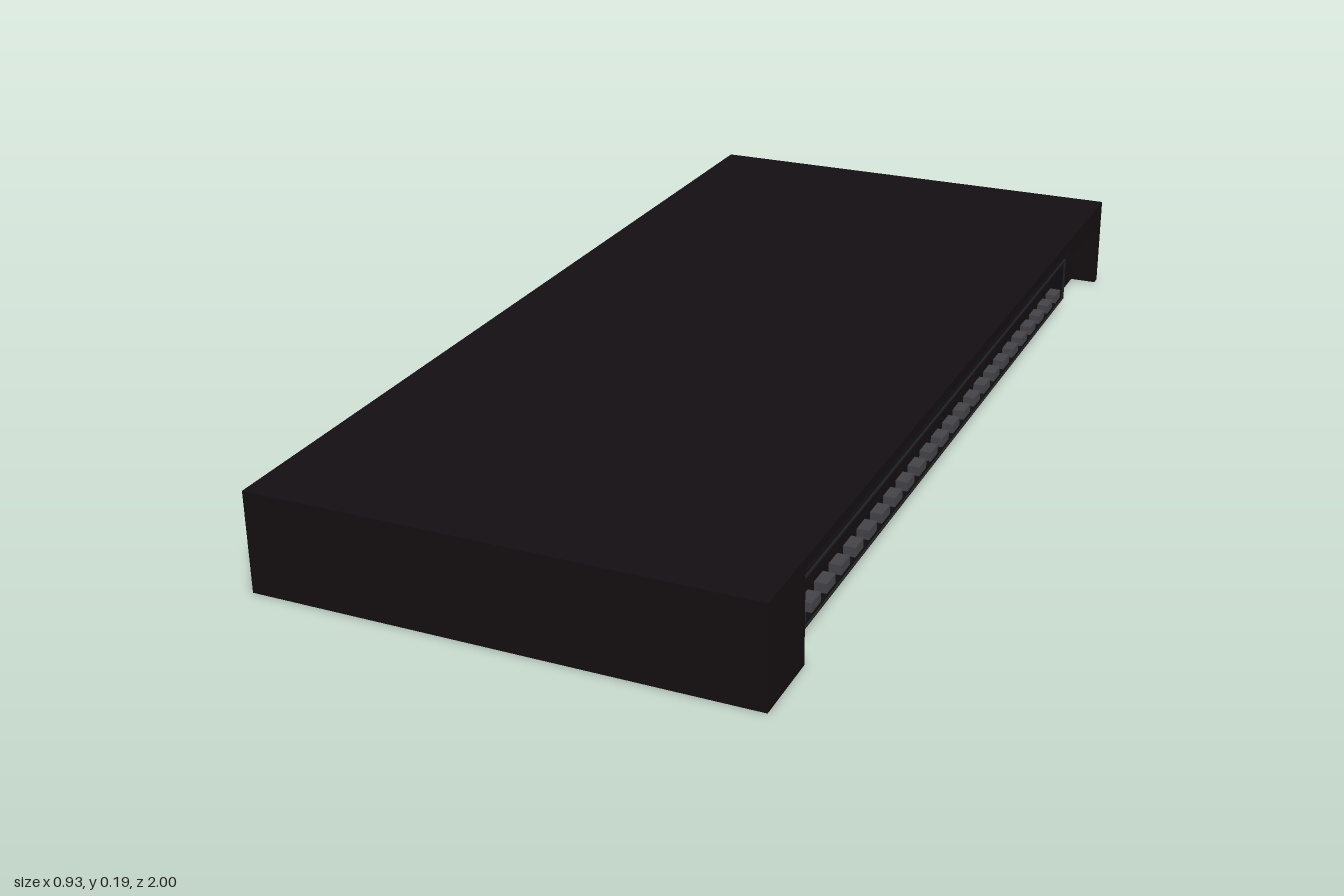
import * as THREE from 'three';

const material = (color) => new THREE.MeshStandardMaterial({ color });
const shell = material(0x140f12);
const plastic = material(0x0e0d10);
const edging = material(0x202024);
const metal = material(0x444448);

const outline = (points) => points.map(([z, y]) => new THREE.Vector2(-z, y));
const rect = (z0, z1, y0, y1) => outline([[z0, y0], [z1, y0], [z1, y1], [z0, y1]]);

// Extrudes a side profile, given as z and y, from x0 to x1.
function sidePart(name, points, x0, x1, mat, hole) {
  const shape = new THREE.Shape(points);
  if (hole) shape.holes.push(new THREE.Path(hole));
  const geometry = new THREE.ExtrudeGeometry(shape, { depth: x1 - x0, bevelEnabled: false });
  geometry.rotateY(Math.PI / 2).translate(x0, 0, 0);
  const mesh = new THREE.Mesh(geometry, mat);
  mesh.name = name;
  return mesh;
}

export function createModel() {
  const model = new THREE.Group();
  model.name = 'flatCase';

  // Main slab, up to the back wall of the connector recess
  model.add(sidePart('caseBody', rect(1, -1, 0, 0.19), -0.465, 0.41, shell));

  // Rim around the recess, open at the bottom and stepped at the rear
  const rim = outline([
    [1, 0], [0.85, 0], [0.85, 0.172], [-0.73, 0.172], [-0.73, 0.14],
    [-0.98, 0.14], [-0.98, 0], [-1, 0], [-1, 0.19], [1, 0.19],
  ]);
  model.add(sidePart('recessRim', rim, 0.41, 0.465, shell));

  // Long connector shroud with a thin pale lip
  const connector = new THREE.Group();
  connector.name = 'connector';
  connector.add(
    sidePart('shroud', rect(0.82, -0.8, 0.02, 0.115), 0.405, 0.435, plastic,
      rect(0.808, -0.788, 0.026, 0.107)),
    sidePart('shroudLip', rect(0.82, -0.8, 0.02, 0.115), 0.435, 0.438, edging,
      rect(0.814, -0.794, 0.023, 0.111)),
  );

  // Row of contacts along the lower edge
  const contact = new THREE.BoxGeometry(0.026, 0.018, 0.04);
  for (let i = 0; i < 24; i++) {
    const pin = new THREE.Mesh(contact, metal);
    pin.name = 'contact';
    pin.position.set(0.42, 0.035, 0.785 - i * 0.0675);
    connector.add(pin);
  }
  model.add(connector);

  return model;
}
